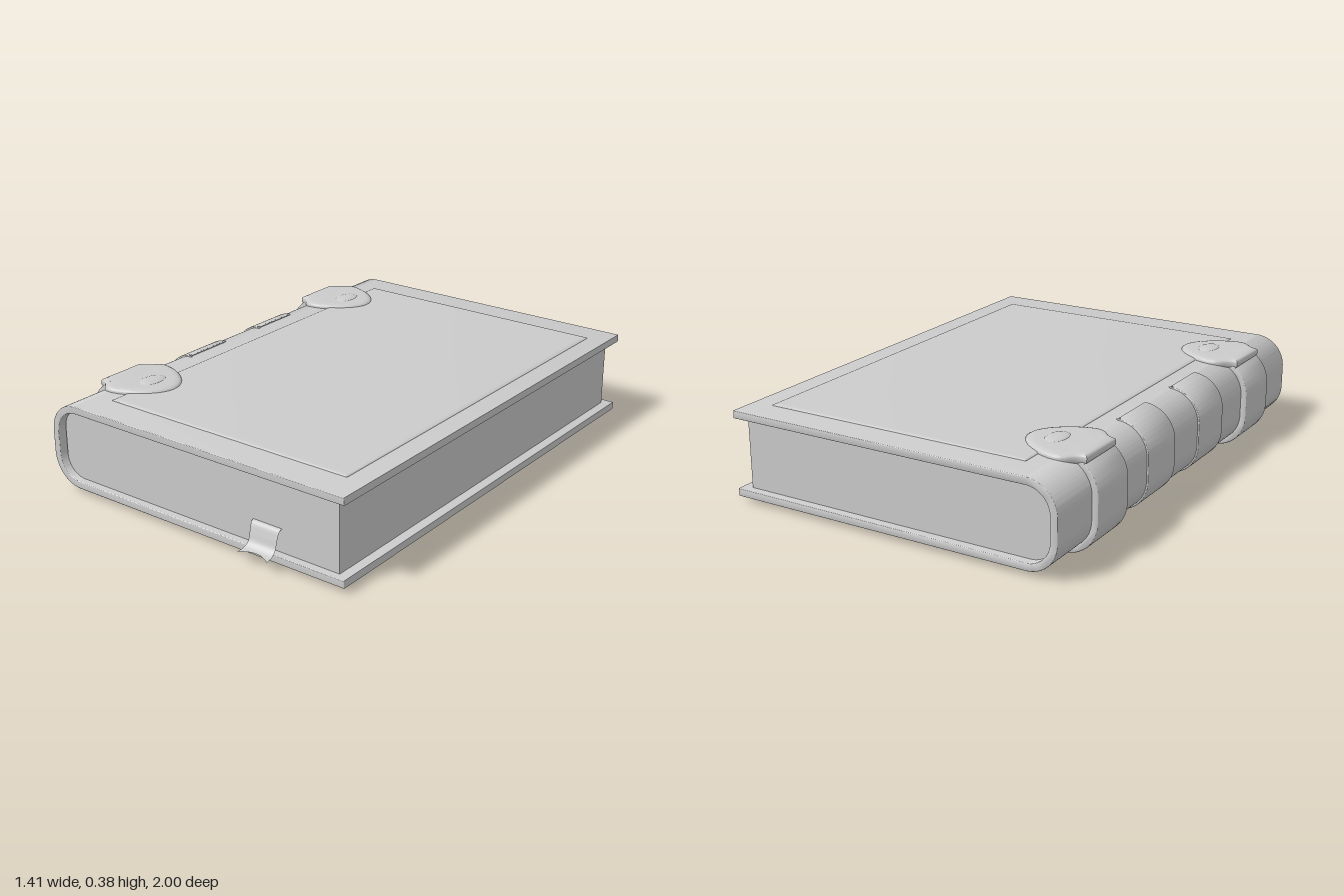
import * as THREE from 'three';
import { toCreasedNormals } from 'three/addons/utils/BufferGeometryUtils.js';

const mat = new THREE.MeshStandardMaterial({ color: 0xcccccc });
const sheetMat = new THREE.MeshStandardMaterial({ color: 0xcccccc, side: THREE.DoubleSide });

function part(name, geometry, parent, material = mat) {
  const mesh = new THREE.Mesh(geometry, material);
  mesh.name = name;
  parent.add(mesh);
  return mesh;
}

// Extrusion whose bevel stays inside the drawn outline; total depth is given.
function extrude(shape, depth, size = 0, thick = size) {
  const g = new THREE.ExtrudeGeometry(shape, {
    depth: depth - 2 * thick, curveSegments: 14,
    bevelEnabled: size > 0, bevelSize: size, bevelOffset: -size, bevelThickness: thick, bevelSegments: 4,
  });
  g.translate(0, 0, thick);
  return toCreasedNormals(g, 0.6);
}

// C-shaped wrap round the spine: left edge x0, from yB to yT, ending at xT and xB.
function wrap(x0, yB, yT, r, xT, xB, th) {
  const s = new THREE.Shape(), cx = x0 + r, P = Math.PI;
  s.moveTo(xT, yT);
  s.lineTo(cx, yT);
  s.absarc(cx, yT - r, r, P / 2, P, false);
  s.absarc(cx, yB + r, r, P, 1.5 * P, false);
  s.lineTo(xB, yB);
  s.lineTo(xB, yB + th);
  s.absarc(cx, yB + r, r - th, 1.5 * P, P, true);
  s.absarc(cx, yT - r, r - th, P, P / 2, true);
  s.lineTo(xT, yT - th);
  return s;
}

function rect(x0, y0, x1, y1) {
  const s = new THREE.Shape();
  s.moveTo(x0, y0);
  s.lineTo(x1, y0);
  s.lineTo(x1, y1);
  s.lineTo(x0, y1);
  s.closePath();
  return s;
}

// Rectangle rounded on its left or right side only.
function sideRounded(x0, y0, x1, y1, r, left) {
  const s = new THREE.Shape(), P = Math.PI;
  if (left) {
    s.moveTo(x1, y0);
    s.lineTo(x1, y1);
    s.lineTo(x0 + r, y1);
    s.absarc(x0 + r, y1 - r, r, P / 2, P, false);
    s.absarc(x0 + r, y0 + r, r, P, 1.5 * P, false);
  } else {
    s.moveTo(x0, y1);
    s.lineTo(x0, y0);
    s.lineTo(x1 - r, y0);
    s.absarc(x1 - r, y0 + r, r, -P / 2, 0, false);
    s.absarc(x1 - r, y1 - r, r, 0, P / 2, false);
  }
  s.closePath();
  return s;
}

// Leaf-shaped clasp plate, symmetric about y = 0.
function leafShape() {
  const s = new THREE.Shape();
  s.moveTo(-0.66, -0.105);
  s.bezierCurveTo(-0.61, -0.11, -0.61, -0.16, -0.56, -0.16);
  s.bezierCurveTo(-0.49, -0.155, -0.37, -0.085, -0.37, 0);
  s.bezierCurveTo(-0.37, 0.085, -0.49, 0.155, -0.56, 0.16);
  s.bezierCurveTo(-0.61, 0.16, -0.61, 0.11, -0.66, 0.105);
  s.closePath();
  return s;
}

function strap(z) {
  const g = new THREE.Group();
  g.name = 'strap';
  g.position.z = z;
  part('strapBand', extrude(wrap(-0.71, 0, 0.372, 0.14, -0.6, -0.53, 0.03), 0.22, 0.006), g).position.z = -0.11;
  const end = part('strapEnd', extrude(sideRounded(-0.55, -0.11, -0.435, 0.11, 0.06, false), 0.03, 0.006), g);
  end.rotation.x = -Math.PI / 2;
  const leaf = part('claspPlate', extrude(leafShape(), 0.04, 0.03, 0.012), g);
  leaf.rotation.x = -Math.PI / 2;
  leaf.position.y = 0.338;
  const stud = part('claspStud', new THREE.SphereGeometry(1, 28, 14), g);
  stud.scale.set(0.04, 0.009, 0.06);
  stud.position.set(-0.485, 0.376, 0);
  return g;
}

// Ribbon: a strip bent along an S curve, with a notched tail.
function ribbonGeometry() {
  const path = new THREE.CatmullRomCurve3([
    [0.9, 0.145], [0.922, 0.138], [0.935, 0.105], [0.945, 0.072], [0.965, 0.055], [1, 0.05],
  ].map(([z, y]) => new THREE.Vector3(0, y, z)));
  const g = new THREE.PlaneGeometry(2, 1, 12, 24);
  const pos = g.attributes.position;
  for (let i = 0; i < pos.count; i++) {
    const u = pos.getX(i), t = 0.5 - pos.getY(i);
    const p = path.getPoint(t * (1 - 0.14 * (1 - u * u)));
    const half = 0.067 - 0.006 * Math.sin(Math.PI * t);
    pos.setXYZ(i, 0.352 + u * half, p.y, p.z);
  }
  g.computeVertexNormals();
  return g;
}

export function createModel() {
  const book = new THREE.Group();
  book.name = 'book';

  // Cover and page block
  part('cover', extrude(wrap(-0.685, 0.02, 0.36, 0.125, 0.705, 0.705, 0.03), 1.94, 0.003), book).position.z = -1;
  part('pages', extrude(sideRounded(-0.648, 0.05, 0.665, 0.33, 0.085, true), 1.875), book).position.z = -0.965;

  // Raised panel on the front board
  const panel = part('coverPanel', extrude(rect(-0.49, -0.81, 0.62, 0.88), 0.026, 0.022, 0.007), book);
  panel.rotation.x = -Math.PI / 2;
  panel.position.y = 0.341;

  // Spine ribs
  for (const z of [-0.36, 0.07]) {
    part('spineRib', extrude(wrap(-0.692, 0.013, 0.366, 0.13, -0.57, -0.57, 0.02), 0.22, 0.004), book).position.z = z;
  }

  // Straps with clasps
  for (const z of [-0.66, 0.595]) book.add(strap(z));

  // Bookmark
  part('ribbon', ribbonGeometry(), book, sheetMat);
  return book;
}
